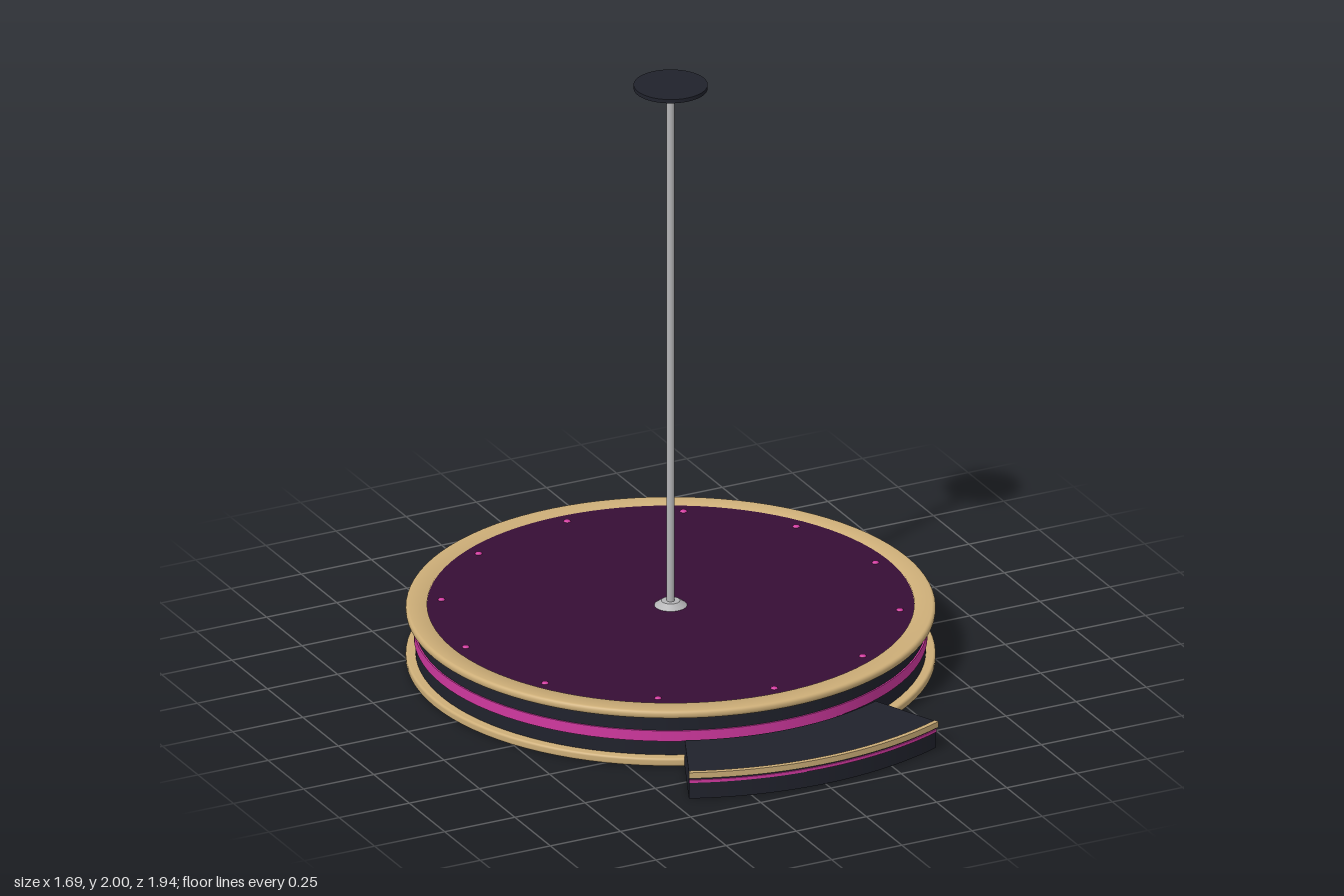
import * as THREE from 'three';

const mat = (name, color, side = THREE.FrontSide) => {
  const m = new THREE.MeshStandardMaterial({ color, side });
  m.name = name;
  return m;
};

export function createModel() {
  const gold = mat('gold', 0xcdae78);
  const dark = mat('charcoal', 0x20222c);
  const purple = mat('deep purple', 0x360e35);
  const pink = mat('magenta', 0xd0389f);
  const silver = mat('silver', 0xb4b4b6);

  const root = new THREE.Group();
  root.name = 'poleStage';
  const stage = new THREE.Group();
  stage.name = 'stage';
  stage.position.z = -0.13;
  root.add(stage);

  const add = (name, geometry, material, y = 0) => {
    const mesh = new THREE.Mesh(geometry, material);
    mesh.name = name;
    mesh.position.y = y;
    stage.add(mesh);
    return mesh;
  };
  const disc = (name, rTop, rBottom, y0, y1, material, open = false, seg = 96) =>
    add(name, new THREE.CylinderGeometry(rTop, rBottom, y1 - y0, seg, 1, open), material, (y0 + y1) / 2);
  const lathe = (name, pts, material, seg = 96) =>
    add(name, new THREE.LatheGeometry(pts.map(p => new THREE.Vector2(...p)), seg), material);

  // Rounded outer edge of a trim hoop between two heights
  const rounded = (r, y0, y1, b) => {
    const pts = [];
    for (let i = 0; i <= 4; i++) {
      const a = -Math.PI / 2 + i * Math.PI / 8;
      pts.push([r - b + b * Math.cos(a), y0 + b + b * Math.sin(a)]);
    }
    for (let i = 0; i <= 4; i++) {
      const a = i * Math.PI / 8;
      pts.push([r - b + b * Math.cos(a), y1 - b + b * Math.sin(a)]);
    }
    return pts;
  };

  // Round platform
  lathe('bottomTrim', [[0, 0], ...rounded(0.843, 0, 0.028, 0.008), [0.8, 0.028]], gold);
  disc('drum', 0.812, 0.812, 0.02, 0.175, dark);
  disc('glowBand', 0.817, 0.817, 0.077, 0.113, pink);
  lathe('topTrim', [[0.8, 0.165], ...rounded(0.843, 0.165, 0.192, 0.011), [0.775, 0.192], [0.775, 0.17]], gold);
  disc('dancefloor', 0.776, 0.776, 0.17, 0.188, purple);

  // Ring of small floor lights
  for (let i = 0; i < 12; i++) {
    const a = i * Math.PI / 6;
    const light = add('floorLight', new THREE.SphereGeometry(0.012, 12, 6, 0, Math.PI * 2, 0, Math.PI / 2), pink, 0.187);
    light.scale.y = 0.6;
    light.position.x = 0.73 * Math.sin(a);
    light.position.z = 0.73 * Math.cos(a);
  }

  // Pole with flanges and ceiling plate
  disc('pole', 0.013, 0.013, 0.185, 1.99, silver, false, 24);
  disc('poleBase', 0.03, 0.055, 0.186, 0.204, silver, false, 32);
  disc('poleCap', 0.06, 0.022, 1.965, 1.988, silver, false, 32);
  disc('ceilingPlate', 0.118, 0.118, 1.987, 2, dark, false, 48);

  // Curved step: ring sectors facing the front
  const sector = (name, r0, r1, y0, y1, half, material) => {
    const s = new THREE.Shape();
    const mid = -Math.PI / 2;
    s.absarc(0, 0, r1, mid - half, mid + half, false);
    s.absarc(0, 0, r0, mid + half, mid - half, true);
    s.closePath();
    const g = new THREE.ExtrudeGeometry(s, { depth: y1 - y0, bevelEnabled: false, curveSegments: 40 });
    g.rotateX(-Math.PI / 2);
    add(name, g, material, y0);
  };
  sector('step', 0.843, 1.092, 0, 0.092, 0.415, dark);
  sector('stepTrim', 1.086, 1.102, 0.074, 0.094, 0.415, gold);
  sector('stepGlowStrip', 1.088, 1.096, 0.056, 0.066, 0.413, pink);

  return root;
}
